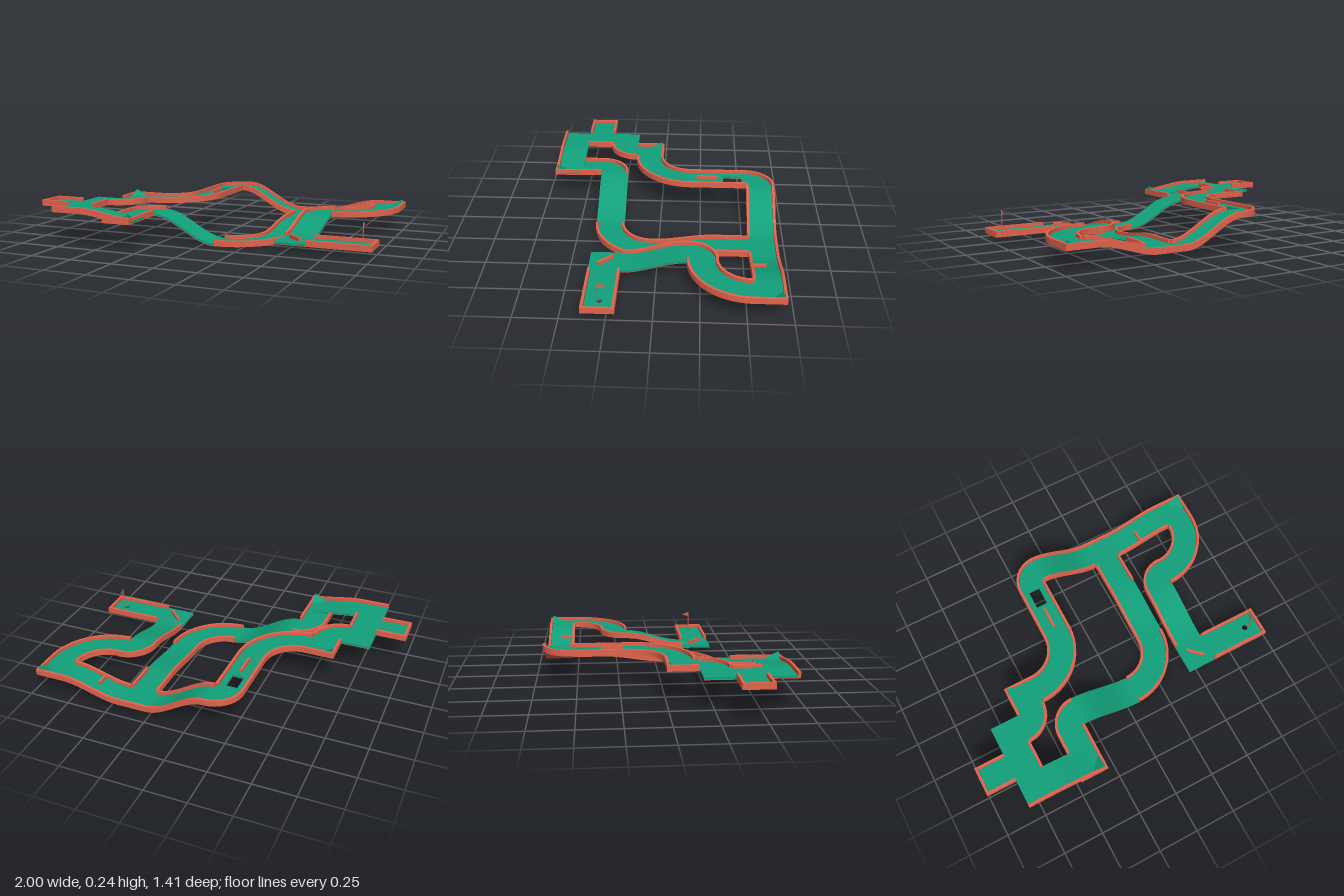
import * as THREE from 'three';
import { toCreasedNormals } from 'three/addons/utils/BufferGeometryUtils.js';

const RED = new THREE.MeshStandardMaterial({ color: 0xe2634d });
const GREEN = new THREE.MeshStandardMaterial({ color: 0x12a07a });
const FLAG = new THREE.MeshStandardMaterial({ color: 0xe2634d, side: THREE.DoubleSide });
const T = 0.016;      // wall thickness
const BASE = 0.003;   // red underside
const FLOOR = 0.015;  // top of the green floor
const WALL = 0.036;   // top of the walls
const SEG = 20;

export function createModel() {
  const course = new THREE.Group();
  course.name = 'miniGolfCourse';

  function add(parent, name, geometry, material) {
    const mesh = new THREE.Mesh(geometry, material);
    mesh.name = name;
    parent.add(mesh);
    return mesh;
  }
  function section(name) {
    const g = new THREE.Group();
    g.name = name;
    course.add(g);
    return g;
  }

  // Box between limits, its vertices then moved by a rule
  function warped(x0, x1, y0, y1, z0, z1, sx, sz, rule) {
    const geo = new THREE.BoxGeometry(x1 - x0, y1 - y0, z1 - z0, sx, 1, sz);
    geo.translate((x0 + x1) / 2, (y0 + y1) / 2, (z0 + z1) / 2);
    const p = geo.attributes.position, v = new THREE.Vector3();
    for (let i = 0; i < p.count; i++) {
      rule(v.fromBufferAttribute(p, i));
      p.setXYZ(i, v.x, v.y, v.z);
    }
    return toCreasedNormals(geo, 0.6);
  }

  // Straight tile; walls lists the walled sides (n = -z, s = +z, w = -x, e = +x).
  // With an axis, height eases from ya to yb along it.
  function straight(name, x0, x1, z0, z1, walls, ya, yb = ya, axis = '', hole = null) {
    const g = section(name);
    const sx = axis === 'x' ? SEG : 1, sz = axis === 'z' ? SEG : 1;
    const rule = (v) => {
      const t = axis === 'x' ? (v.x - x0) / (x1 - x0) : axis === 'z' ? (v.z - z0) / (z1 - z0) : 0;
      v.y += ya + (yb - ya) * THREE.MathUtils.smoothstep(t, 0, 1);
    };
    const has = (c) => (walls.includes(c) ? T : 0);
    const [a, b, c, d] = [x0 + has('w'), x1 - has('e'), z0 + has('n'), z1 - has('s')];
    const layers = [['underside', 0, BASE, RED], ['floor', BASE, FLOOR, GREEN]];
    for (const [part, lo, hi, mat] of layers) {
      if (!hole) {
        add(g, part, warped(a, b, lo, hi, c, d, sx, sz, rule), mat);
        continue;
      }
      // Shape lies in x,-z so that it extrudes upward
      const shape = new THREE.Shape([[a, -d], [b, -d], [b, -c], [a, -c]].map((q) => new THREE.Vector2(...q)));
      shape.holes.push(hole);
      const geo = new THREE.ExtrudeGeometry(shape, { depth: hi - lo, bevelEnabled: false, curveSegments: 24 });
      geo.rotateX(-Math.PI / 2).translate(0, ya + lo, 0);
      add(g, part, geo, mat);
    }
    const sides = { n: [x0, x1, z0, z0 + T], s: [x0, x1, z1 - T, z1], w: [x0, x0 + T, z0, z1], e: [x1 - T, x1, z0, z1] };
    for (const k of walls) {
      const [p, q, r, s] = sides[k];
      add(g, 'wall', warped(p, q, 0, WALL, r, s, sx, sz, rule), RED);
    }
  }

  // Quarter turn about (cx, cz), starting at angle a0 (x = cos, z = sin)
  function turn(name, cx, cz, r0, r1, a0, y) {
    const g = section(name);
    const rule = (v) => {
      const a = a0 + (1 - v.x) * Math.PI / 2, r = v.z;
      v.set(cx + r * Math.cos(a), v.y + y, cz + r * Math.sin(a));
    };
    const ring = (part, lo, hi, ra, rb, mat) => add(g, part, warped(0, 1, lo, hi, ra, rb, SEG, 1, rule), mat);
    const inner = r0 > 0 ? r0 + T : 0;
    ring('underside', 0, BASE, inner, r1 - T, RED);
    ring('floor', BASE, FLOOR, inner, r1 - T, GREEN);
    ring('outerWall', 0, WALL, r1 - T, r1, RED);
    if (r0 > 0) ring('innerWall', 0, WALL, r0, r0 + T, RED);
  }

  // Starting area and high tiles
  straight('startTile', -1, -0.815, 0.352, 0.528, 'nsw', 0.19);
  straight('forkNorth', -0.815, -0.64, 0.18, 0.352, '', 0.19);
  straight('forkMiddle', -0.815, -0.64, 0.352, 0.522, 'e', 0.19);
  straight('forkSouth', -0.815, -0.64, 0.522, 0.7, 's', 0.19);

  // Northern route
  turn('firstTurn', -0.64, 0.18, 0, 0.178, 0, 0.19);
  straight('bankedTile', -0.64, -0.46, 0, 0.18, 'nw', 0.19);
  turn('wideTurn', -0.46, -0.18, 0.18, 0.357, 0, 0.19);
  const pit = new THREE.Path([[-0.225, 0.39], [-0.225, 0.505], [-0.155, 0.505], [-0.155, 0.39]].map((q) => new THREE.Vector2(...q)));
  straight('pitStraight', -0.278, -0.103, -0.53, -0.18, 'we', 0.19, 0.19, '', pit);
  turn('northTurn', -0.103, -0.53, 0, 0.175, Math.PI, 0.19);
  straight('longDescent', -0.103, 0.262, -0.705, -0.53, 'ns', 0.19, 0.04, 'x');
  straight('junction', 0.262, 0.437, -0.705, -0.53, 'n', 0.04);

  // Return route
  straight('returnStraight', 0.262, 0.437, -0.53, -0.335, 'we', 0.04);
  straight('returnSlope', 0.262, 0.437, -0.335, 0.04, 'w', 0.04, 0, 'z');
  turn('returnTurn', 0.08, 0.04, 0.18, 0.357, 0, 0);
  straight('steepSlope', -0.305, 0.08, 0.222, 0.398, '', 0.152, 0, 'x');
  turn('upperTurn', -0.305, 0.4, 0, 0.176, Math.PI, 0.152);
  straight('returnNeck', -0.481, -0.305, 0.4, 0.522, 'we', 0.152);
  straight('returnCorner', -0.481, -0.305, 0.522, 0.703, 'se', 0.15);
  straight('shortSlope', -0.64, -0.305, 0.522, 0.7, 's', 0.19, 0.152, 'x');

  // Eastern route to the hole
  straight('eastRamp', 0.437, 0.8, -0.705, -0.53, 'ns', 0.04, 0.115, 'x');
  straight('eastCorner', 0.8, 0.977, -0.705, -0.53, 'ne', 0.115);
  turn('eastTurn', 0.62, -0.53, 0.18, 0.357, 0, 0.115);
  turn('finalTurn', 0.62, -0.178, 0, 0.175, Math.PI, 0.115);
  straight('finalSlope', 0.445, 0.625, -0.178, 0.2, 'w', 0.115, 0.04, 'z');
  straight('openCorner', 0.445, 0.628, 0.2, 0.385, '', 0.04);
  const cup = new THREE.Path();
  cup.absarc(0.904, -0.29, 0.018, 0, Math.PI * 2, true);
  straight('holeTile', 0.628, 1, 0.2, 0.385, 'nse', 0.04, 0.04, '', cup);

  // Raised triangular banks in the square corners
  function bank(x, z, dx, dz, y) {
    const pts = [[x, y, z], [x + dx * 0.085, y, z], [x, y, z + dz * 0.085], [x, y + 0.038, z]];
    const tris = [0, 1, 2, 0, 3, 1, 0, 2, 3, 1, 3, 2];
    if (dx * dz < 0) tris.reverse();
    const geo = new THREE.BufferGeometry();
    geo.setAttribute('position', new THREE.Float32BufferAttribute(tris.flatMap((i) => pts[i]), 3));
    geo.computeVertexNormals();
    add(course, 'cornerBank', geo, GREEN);
  }
  bank(-0.626, 0.014, 1, 1, 0.204);
  bank(0.963, -0.691, -1, 1, 0.129);
  bank(-0.319, 0.689, -1, -1, 0.17);

  // Low barriers
  function barrier(x, z, length, y, angle) {
    const m = add(course, 'barrier', new THREE.BoxGeometry(length, 0.024, 0.014), RED);
    m.position.set(x, y + 0.012, z);
    m.rotation.y = angle;
  }
  barrier(-0.19, -0.288, 0.135, 0.203, Math.PI / 2);
  barrier(0.602, -0.575, 0.09, 0.082, Math.PI / 2);
  barrier(0.538, 0.292, 0.115, 0.053, -Math.PI / 4);

  // Flag beside the hole
  const pole = add(course, 'flagPole', new THREE.CylinderGeometry(0.003, 0.003, 0.135, 8), RED);
  pole.position.set(0.928, 0.118, 0.293);
  const pennant = new THREE.Shape([[0, 0], [0.045, 0.016], [0, 0.032]].map((q) => new THREE.Vector2(...q)));
  const flag = add(course, 'flag', new THREE.ShapeGeometry(pennant), FLAG);
  flag.position.set(0.928, 0.153, 0.293);
  flag.rotation.y = Math.PI / 2;

  return course;
}
